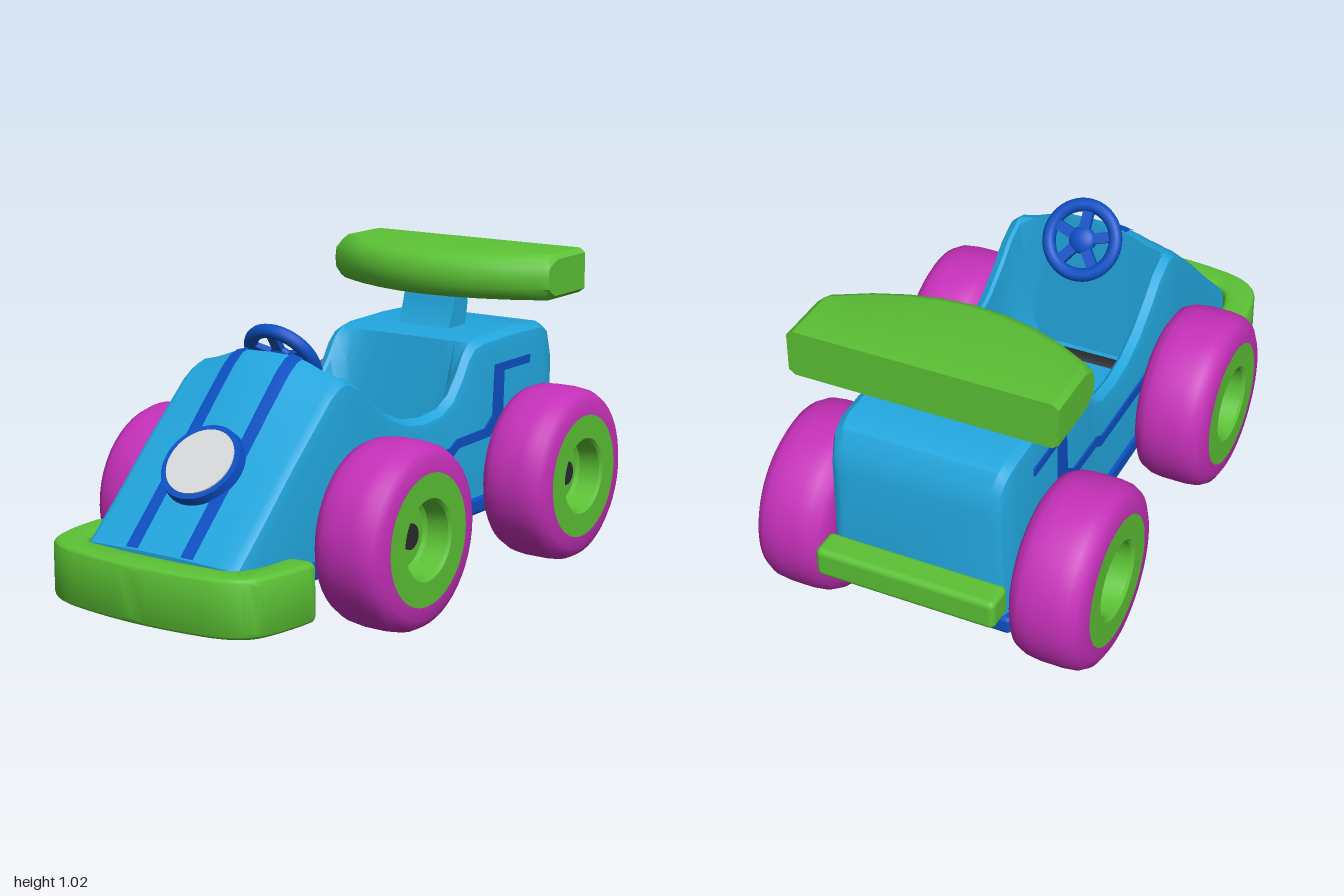
import * as THREE from 'three';
import { toCreasedNormals } from 'three/addons/utils/BufferGeometryUtils.js';
import { RoundedBoxGeometry } from 'three/addons/geometries/RoundedBoxGeometry.js';

const mat = (name, color) => {
  const m = new THREE.MeshStandardMaterial({ color });
  m.name = name;
  return m;
};

// Skins a row of cross-sections; each section is a list of [x, y, z]
function loft(sections, { closed = false, caps = true } = {}) {
  const n = sections[0].length, last = (sections.length - 1) * n, index = [];
  for (let i = 0; i < sections.length - 1; i++) {
    for (let j = 0; j < (closed ? n : n - 1); j++) {
      const a = i * n + j, b = i * n + (j + 1) % n;
      index.push(a, a + n, b, b, a + n, b + n);
    }
  }
  if (caps) for (let j = 1; j < n - 1; j++) {
    index.push(0, j, j + 1, last, last + j + 1, last + j);
  }
  const g = new THREE.BufferGeometry();
  g.setAttribute('position', new THREE.Float32BufferAttribute(sections.flat(2), 3));
  g.setIndex(index);
  return toCreasedNormals(g, 0.6);
}

// Hood stations: [z, shoulder height, centre height]
const HOOD = [[0.875, 0.305, 0.31], [0.75, 0.42, 0.435], [0.6, 0.565, 0.585], [0.5, 0.655, 0.69],
  [0.41, 0.735, 0.78], [0.37, 0.76, 0.81], [0.335, 0.77, 0.82]];
// Cockpit stations: [z, rim height, floor height, floor half width]
const COCKPIT = [[0.315, 0.765, 0.33, 0.19], [0.25, 0.735, 0.33, 0.21], [0.2, 0.69, 0.33, 0.225],
  [0.1, 0.62, 0.33, 0.23], [0, 0.58, 0.33, 0.23], [-0.1, 0.567, 0.33, 0.23], [-0.2, 0.575, 0.33, 0.23],
  [-0.27, 0.61, 0.33, 0.22], [-0.32, 0.67, 0.34, 0.19], [-0.36, 0.73, 0.57, 0.2]];
// Rear deck stations: [z, height, half width]
const DECK = [[-0.395, 0.76, 0.29], [-0.45, 0.77, 0.29], [-0.65, 0.775, 0.29], [-0.82, 0.77, 0.29],
  [-0.865, 0.75, 0.285], [-0.895, 0.7, 0.275], [-0.912, 0.62, 0.25]];

const crown = (s, c) => [[0.25, s], [0.2, s + 0.25 * (c - s)], [0.14, s + 0.7 * (c - s)],
  [0.09, s + 0.95 * (c - s)]];

function bodySection(z, s, w, inner, middle) {
  const half = [[w, 0.24], [w - 0.004, s - 0.06], [w - 0.012, s - 0.02], [w - 0.037, s], ...inner];
  return [...half.map(([x, y]) => [x, y, z]), [0, middle, z],
    ...half.reverse().map(([x, y]) => [-x, y, z])];
}

function bodyGeometry() {
  return loft([
    ...HOOD.map(([z, s, c]) => bodySection(z, s, 0.29, crown(s, c), c)),
    ...COCKPIT.map(([z, s, f, w]) => bodySection(z, s, 0.29,
      [[0.243, s - 0.01], [w + 0.005, f + 0.08], [w - 0.015, f + 0.02], [w - 0.06, f]], f)),
    ...DECK.map(([z, s, w]) => bodySection(z, s, w,
      [[w - 0.045, s], [0.2, s], [0.14, s], [0.09, s]], s)),
  ]);
}

export function createModel() {
  const group = new THREE.Group();
  const cyan = mat('body cyan', 0x22a6de), blue = mat('trim blue', 0x0c50c4);
  const green = mat('accent green', 0x5cc235), magenta = mat('tyre magenta', 0xc530b9);
  const white = mat('badge white', 0xd8dadc), black = mat('axle black', 0x2a2a30);
  const add = (name, geometry, material, x = 0, y = 0, z = 0, parent = group) => {
    const m = new THREE.Mesh(geometry, material);
    m.name = name;
    m.position.set(x, y, z);
    parent.add(m);
    return m;
  };

  // Body shell and floor pan
  add('body', bodyGeometry(), cyan);
  add('floorPan', new RoundedBoxGeometry(0.6, 0.06, 1.78, 2, 0.015), blue, 0, 0.22, -0.02);

  // Hood stripes
  for (const xs of [[0.125, 0.09, 0.08], [-0.08, -0.09, -0.125]]) {
    const strip = HOOD.map(([z, s, c]) => xs.map(x => {
      const a = Math.abs(x), d = c - s;
      const y = a > 0.09 ? s + d * (0.95 - 0.25 * (a - 0.09) / 0.05) : s + d * (0.95 + 0.05 * (0.09 - a) / 0.09);
      return [x, y + 0.005, z];
    }));
    add('hoodStripe', loft(strip, { caps: false }), blue);
  }

  // Round badge on the hood
  const badge = new THREE.Group();
  badge.name = 'hoodBadge';
  badge.position.set(0, 0.532, 0.665);
  badge.rotation.x = Math.PI / 4;
  group.add(badge);
  add('badgeRim', new THREE.CylinderGeometry(0.13, 0.136, 0.04, 48), blue, 0, 0, 0, badge);
  add('badgeFace', new THREE.CylinderGeometry(0.112, 0.112, 0.006, 48), white, 0, 0.021, 0, badge);

  // Stepped stripes along both sides
  const stripeShape = new THREE.Shape([[0.12, 0.41], [-0.24, 0.413], [-0.28, 0.437], [-0.47, 0.44],
    [-0.55, 0.5], [-0.555, 0.648], [-0.72, 0.648], [-0.72, 0.675], [-0.5, 0.675], [-0.49, 0.51],
    [-0.44, 0.472], [-0.27, 0.468], [-0.23, 0.446], [0.12, 0.446]].map(p => new THREE.Vector2(...p)));
  const stripe = new THREE.ExtrudeGeometry(stripeShape, { depth: 0.006, bevelEnabled: false });
  stripe.rotateY(-Math.PI / 2);
  add('leftSideStripe', stripe, blue, 0.295);
  add('rightSideStripe', stripe, blue, -0.289);

  // Wheels: profiles run from the inner face to the outer face
  const v = pts => pts.map(p => new THREE.Vector2(...p));
  const tyre = toCreasedNormals(new THREE.LatheGeometry(v([[0.03, 0.3], [0.2, 0.295], [0.245, 0.3],
    [0.272, 0.315], [0.286, 0.345], [0.291, 0.385], [0.291, 0.455], [0.286, 0.495], [0.272, 0.52],
    [0.245, 0.535], [0.203, 0.538]]), 48), 0.7);
  const hub = toCreasedNormals(new THREE.LatheGeometry(v([[0.205, 0.538], [0.127, 0.538], [0.118, 0.53],
    [0.112, 0.46], [0.1, 0.45], [0, 0.45]]), 48), 0.5);
  const axle = new THREE.CylinderGeometry(0.04, 0.04, 0.95, 24);
  for (const [end, z] of [['front', 0.27], ['rear', -0.67]]) {
    add(end + 'Axle', axle, black, 0, 0.3, z).rotation.z = Math.PI / 2;
    for (const side of [1, -1]) {
      const wheel = new THREE.Group();
      wheel.name = end + (side > 0 ? 'LeftWheel' : 'RightWheel');
      wheel.position.set(0, 0.3, z);
      wheel.rotation.z = -side * Math.PI / 2;
      group.add(wheel);
      add('tyre', tyre, magenta, 0, 0, 0, wheel);
      add('hub', hub, green, 0, 0, 0, wheel);
    }
  }

  // Wrap-around front bumper
  const b = new THREE.Shape();
  b.moveTo(-0.405, 0.69);
  b.quadraticCurveTo(-0.41, 0.8, -0.385, 0.88);
  b.quadraticCurveTo(-0.36, 0.955, -0.24, 0.975);
  b.quadraticCurveTo(0, 1.015, 0.24, 0.975);
  b.quadraticCurveTo(0.36, 0.955, 0.385, 0.88);
  b.quadraticCurveTo(0.41, 0.8, 0.415, 0.69);
  b.quadraticCurveTo(0.41, 0.665, 0.37, 0.67);
  b.quadraticCurveTo(0.325, 0.67, 0.32, 0.7);
  b.quadraticCurveTo(0.32, 0.885, 0.23, 0.885);
  b.quadraticCurveTo(0, 0.905, -0.23, 0.885);
  b.quadraticCurveTo(-0.32, 0.885, -0.32, 0.7);
  b.quadraticCurveTo(-0.325, 0.67, -0.37, 0.67);
  b.quadraticCurveTo(-0.405, 0.665, -0.405, 0.69);
  const bumper = new THREE.ExtrudeGeometry(b, { depth: 0.14, bevelThickness: 0.02, bevelSize: 0.02,
    bevelOffset: -0.015, bevelSegments: 4, curveSegments: 10 });
  add('frontBumper', toCreasedNormals(bumper, 0.6), green, 0, 0.29, 0).rotation.x = Math.PI / 2;

  // Rear bumper bar
  add('rearBumper', new RoundedBoxGeometry(0.585, 0.1, 0.1, 3, 0.02), green, 0, 0.33, -0.95);

  // Spoiler with a bowed, rounded leading edge
  const wing = [0.425, 0.405, 0.3, 0.2, 0.1, 0, -0.1, -0.2, -0.3, -0.405, -0.425].map(x => {
    const f = -0.465 - 0.14 * (x / 0.425) ** 2, e = Math.abs(x) > 0.41 ? 0.015 : 0;
    return [[-0.845, 0.88 + e], [-0.845, 1.03 - e], [f - 0.06, 1.03 - e], [f - 0.025, 1.015 - e],
      [f - 0.006, 0.99], [f, 0.955], [f - 0.005, 0.92], [f - 0.02, 0.895 + e], [f - 0.045, 0.88 + e]]
      .map(([z, y]) => [x, y, z]);
  });
  add('spoiler', loft(wing, { closed: true }), green);

  // Swept spoiler strut
  const s = new THREE.Shape();
  s.moveTo(-0.61, 0.75);
  s.lineTo(-0.5, 0.75);
  s.quadraticCurveTo(-0.54, 0.81, -0.555, 0.9);
  s.lineTo(-0.635, 0.9);
  s.quadraticCurveTo(-0.63, 0.81, -0.61, 0.75);
  const strut = new THREE.ExtrudeGeometry(s, { depth: 0.2, bevelEnabled: false, curveSegments: 8 });
  strut.rotateY(-Math.PI / 2);
  add('spoilerStrut', toCreasedNormals(strut, 0.5), cyan, 0.1);

  // Steering wheel: rim, five spokes, boss and column
  const steering = new THREE.Group();
  steering.name = 'steeringWheel';
  steering.position.set(0, 0.79, 0.27);
  steering.rotation.x = 0.6;
  group.add(steering);
  add('steeringRim', new THREE.TorusGeometry(0.113, 0.022, 12, 48), blue, 0, 0, 0, steering);
  for (let i = 0; i < 5; i++) {
    const a = Math.PI / 2 + i * Math.PI * 0.4;
    add('steeringSpoke', new THREE.BoxGeometry(0.1, 0.034, 0.02), blue,
      0.06 * Math.cos(a), 0.06 * Math.sin(a), 0, steering).rotation.z = a;
  }
  add('steeringBoss', new THREE.SphereGeometry(0.045, 24, 16), blue, 0, 0, 0, steering).scale.z = 0.5;
  add('steeringColumn', new THREE.CylinderGeometry(0.022, 0.022, 0.14, 20), blue, 0, 0, 0.07, steering)
    .rotation.x = Math.PI / 2;

  return group;
}
